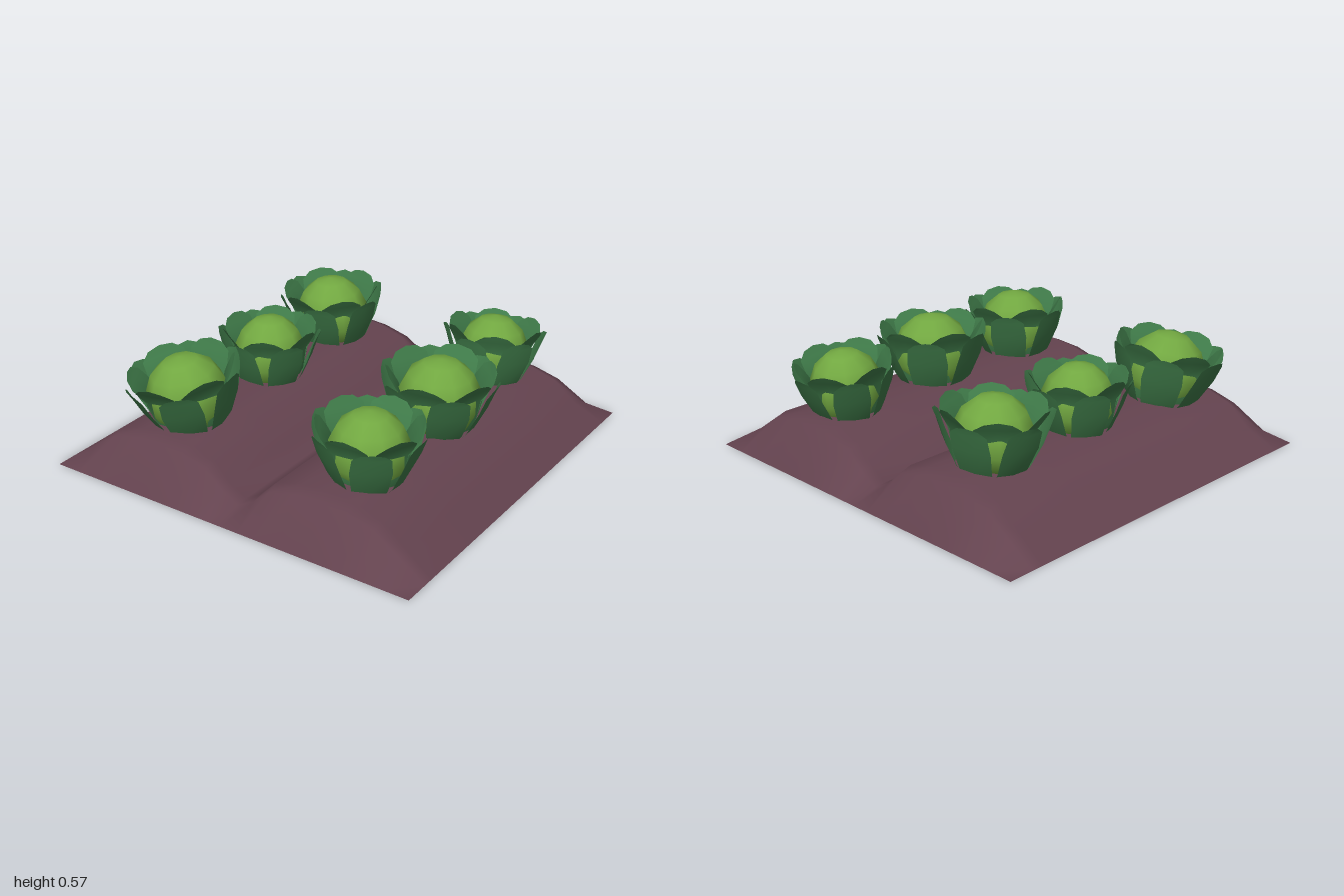
import * as THREE from 'three';

const soilMat = new THREE.MeshStandardMaterial({ color: 0x64434f, side: THREE.DoubleSide });
const leafMat = new THREE.MeshStandardMaterial({ color: 0x407c4a, side: THREE.DoubleSide });
const headMat = new THREE.MeshStandardMaterial({ color: 0x72a841 });
soilMat.name = 'soil';
leafMat.name = 'leafGreen';
headMat.name = 'headGreen';

// Open sheet of soil with two ridges, sloping to the ground all round
function makeSoil() {
  const half = [[0, 0.055], [0.09, 0.11], [0.18, 0.2], [0.32, 0.24], [0.46, 0.25],
    [0.6, 0.24], [0.74, 0.2], [0.87, 0.1], [1, 0]];
  const profile = [...half.slice(1).reverse().map(([x, y]) => [-x, y]), ...half];
  const ends = [[-1, 0], [-0.87, 0.89], [-0.81, 1], [-0.4, 1], [0, 1], [0.4, 1], [0.81, 1], [0.87, 0.89], [1, 0]];
  const geo = new THREE.PlaneGeometry(2, 2, profile.length - 1, ends.length - 1).rotateX(-Math.PI / 2);
  ends.forEach(([z, s], j) => profile.forEach(([x, y], i) =>
    geo.attributes.position.setXYZ(j * profile.length + i, x, y * s, z)));
  geo.computeVertexNormals();
  const soil = new THREE.Mesh(geo, soilMat);
  soil.name = 'soilRidges';
  return soil;
}

// Leaf from rows of [radius, height, half width], tip first; edges curl inwards by curl
function leafGeometry(rows, curl) {
  const geo = new THREE.PlaneGeometry(1, 1, 2, rows.length - 1);
  rows.forEach(([r, y, w], j) => [-1, 0, 1].forEach((s, i) =>
    geo.attributes.position.setXYZ(j * 3 + i, s * w, y - (j === 0 ? Math.abs(s) * 0.012 : 0), r - Math.abs(s) * curl)));
  geo.computeVertexNormals();
  return geo;
}

const outerLeaf = leafGeometry([[0.29, 0.3, 0.055], [0.272, 0.26, 0.092], [0.24, 0.17, 0.1],
  [0.185, 0.05, 0.085], [0.13, -0.02, 0.07]], 0.014);
const innerLeaf = leafGeometry([[0.258, 0.33, 0.065], [0.235, 0.285, 0.11], [0.18, 0.2, 0.115],
  [0.165, 0.08, 0.095], [0.125, -0.01, 0.07]], 0.004);
const headGeo = new THREE.SphereGeometry(0.2, 10, 7);

// Round head inside two staggered rings of six leaves
function makePlant([x, z, scale, turn, tiltX, tiltZ]) {
  const plant = new THREE.Group();
  plant.name = 'cabbage';
  const head = new THREE.Mesh(headGeo, headMat);
  head.name = 'head';
  head.position.y = 0.17;
  plant.add(head);
  for (let i = 0; i < 6; i++) {
    const inner = new THREE.Mesh(innerLeaf, leafMat);
    inner.name = 'innerLeaf';
    inner.rotation.y = turn + i * Math.PI / 3;
    const outer = new THREE.Mesh(outerLeaf, leafMat);
    outer.name = 'outerLeaf';
    outer.rotation.y = turn + (i + 0.5) * Math.PI / 3;
    plant.add(inner, outer);
  }
  plant.position.set(x, 0.2, z);
  plant.rotation.set(tiltX, 0, tiltZ);
  plant.scale.set(scale, 0.5 + scale * 0.5, scale);
  return plant;
}

export function createModel() {
  const model = new THREE.Group();
  model.name = 'cabbagePatch';
  model.add(makeSoil());
  // x, z, scale, turn, forward tilt, sideways tilt
  [
    [-0.47, -0.58, 0.95, -0.2, 0.03, 0.03],
    [-0.46, 0, 0.9, 0.5, 0, 0],
    [-0.48, 0.58, 1, 0.08, 0.14, 0.1],
    [0.47, -0.62, 0.9, 0.5, -0.12, 0],
    [0.51, -0.03, 1.01, 0.2, 0, -0.04],
    [0.51, 0.57, 0.95, 0.1, 0, -0.03],
  ].forEach((p) => model.add(makePlant(p)));
  return model;
}
